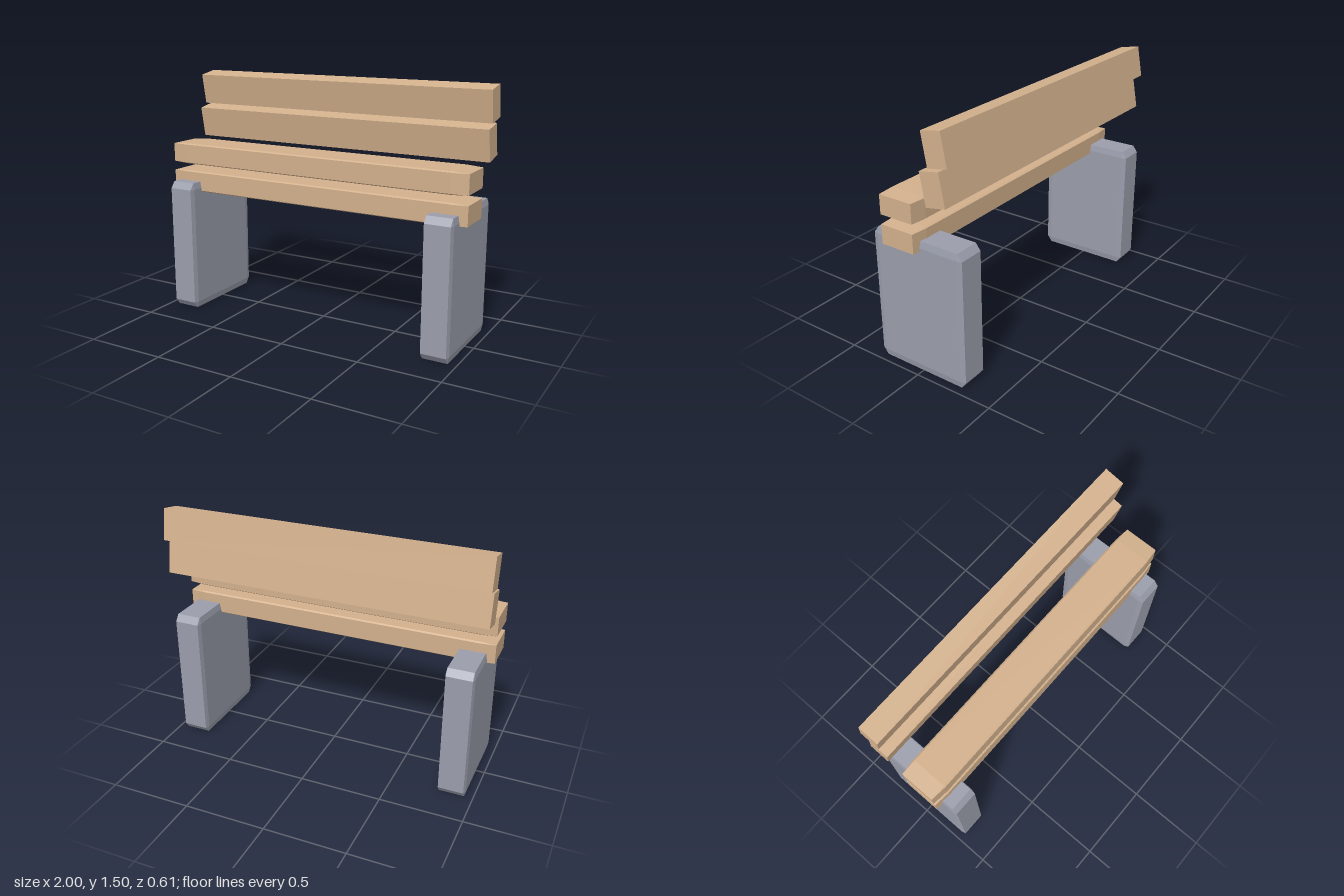
import * as THREE from 'three';
import { ConvexGeometry } from 'three/addons/geometries/ConvexGeometry.js';

const wood = new THREE.MeshStandardMaterial({ color: 0xd2b08c, flatShading: true });
const stone = new THREE.MeshStandardMaterial({ color: 0x9a9dab, flatShading: true });

// Box with half sizes h whose faces are inset by a different bevel b on each axis
function bevelledBox(h, b) {
  const points = [];
  for (let axis = 0; axis < 3; axis++)
    for (const sx of [-1, 1]) for (const sy of [-1, 1]) for (const sz of [-1, 1]) {
      const p = [sx, sy, sz].map((s, i) => s * (i === axis ? h[i] : h[i] - b[i]));
      points.push(new THREE.Vector3(...p));
    }
  return new ConvexGeometry(points);
}

export function createModel() {
  const bench = new THREE.Group();
  bench.name = 'bench';

  const add = (name, geometry, material, x, y, z, tilt = 0) => {
    const mesh = new THREE.Mesh(geometry, material);
    mesh.name = name;
    mesh.position.set(x, y, z);
    mesh.rotation.x = tilt;
    bench.add(mesh);
  };

  // Slab legs
  const leg = bevelledBox([0.085, 0.415, 0.305], [0.008, 0.04, 0.03]);
  add('leftLeg', leg, stone, 0.87, 0.415, 0);
  add('rightLeg', leg, stone, -0.87, 0.415, 0);

  // Stacked seat beams, tapering slightly at the ends
  const beam = bevelledBox([1, 0.065, 0.119], [0.1, 0.007, 0.01]);
  add('lowerSeatBeam', beam, wood, 0, 0.829, 0.087);
  add('upperSeatBeam', beam, wood, 0, 1.003, 0.087);

  // Tilted backrest beams
  const back = new THREE.BoxGeometry(2, 0.193, 0.128);
  add('lowerBackBeam', back, wood, 0, 1.176, -0.173, 0.18);
  add('upperBackBeam', back, wood, 0, 1.393, -0.195, 0.18);

  return bench;
}
